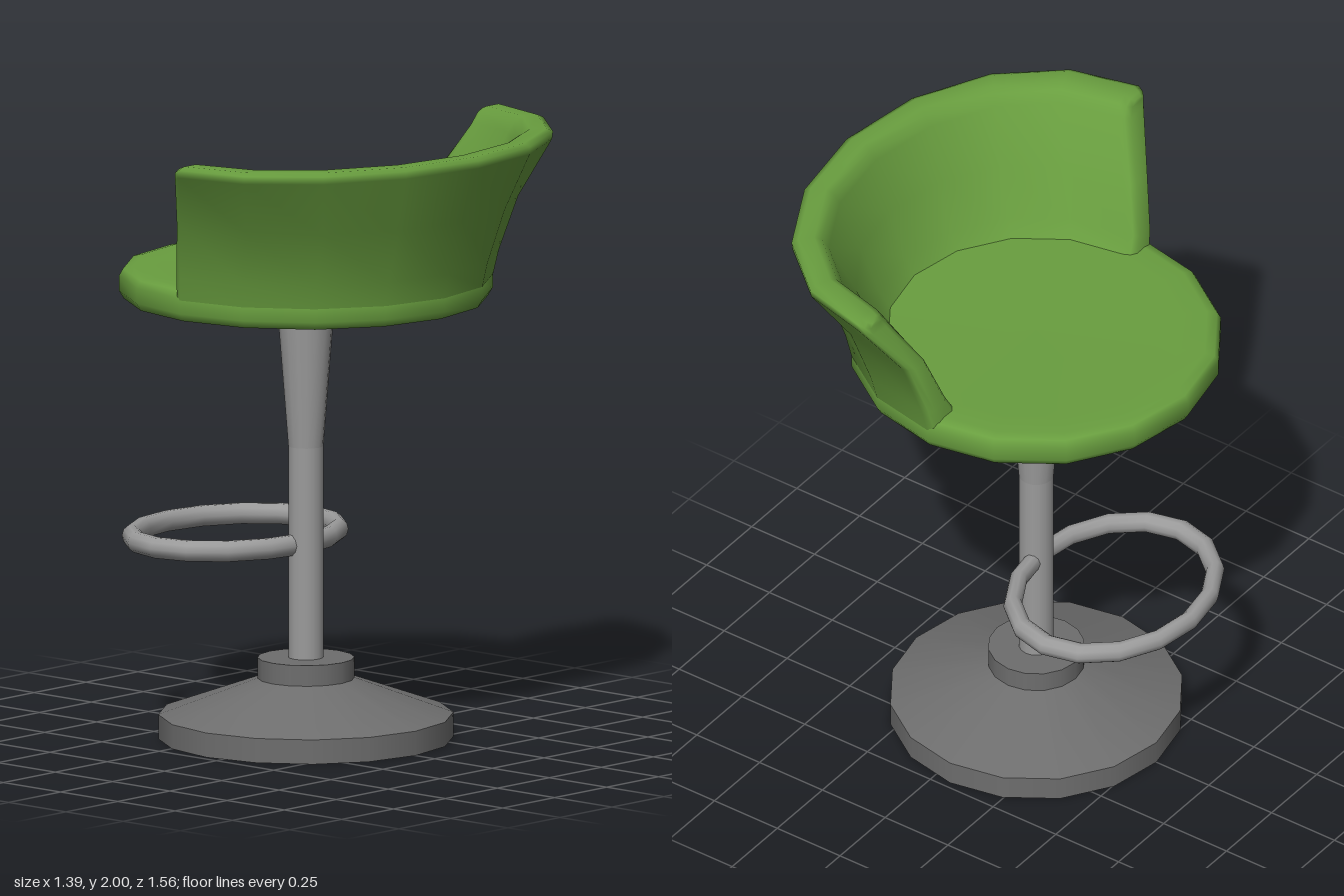
import * as THREE from 'three';

const CX = -0.063; // column axis
const SIDES = 16;

const green = new THREE.MeshStandardMaterial({ color: 0x699e3f });
green.name = 'green upholstery';
const steel = new THREE.MeshStandardMaterial({ color: 0x9b9b9b });
steel.name = 'light grey metal';
const iron = new THREE.MeshStandardMaterial({ color: 0x6e6e6e });
iron.name = 'dark grey metal';

function add(group, name, geometry, material, x = CX, y = 0) {
  const mesh = new THREE.Mesh(geometry, material);
  mesh.name = name;
  mesh.position.set(x, y, 0);
  group.add(mesh);
  return mesh;
}

const lathe = (points) =>
  new THREE.LatheGeometry(points.map(([r, y]) => new THREE.Vector2(r, y)), SIDES);

// Wrap-around backrest: half-ellipse rings, up the outside, over the rim, down the inside
function backrestGeometry() {
  // [y, forward shift, x radius, z radius]
  const rings = [
    [1.52, 0.0, 0.606, 0.606],
    [1.6, 0.012, 0.612, 0.62],
    [1.78, 0.055, 0.63, 0.665],
    [1.965, 0.148, 0.605, 0.778],
    [1.99, 0.152, 0.603, 0.78],
    [2.0, 0.154, 0.58, 0.757],
    [2.0, 0.154, 0.53, 0.70],
    [1.985, 0.152, 0.51, 0.672],
    [1.95, 0.145, 0.497, 0.65],
    [1.77, 0.06, 0.525, 0.565],
    [1.61, 0.012, 0.51, 0.515],
    [1.54, 0.0, 0.475, 0.475],
  ];
  const n = rings.length;
  const stations = [];
  for (let i = 0; i <= 8; i++) {
    const a = -Math.PI / 2 + (i * Math.PI) / 8;
    stations.push(rings.map(([y, dx, rx, rz]) =>
      new THREE.Vector3(dx + rx * Math.cos(a), y, rz * Math.sin(a))));
  }
  // Rounded ends: push the end section forward and pinch its thickness
  const roundEnd = (section, pinch, push) => section.map((p, j) => {
    const mid = p.clone().add(section[n - 1 - j]).multiplyScalar(0.5);
    const q = p.clone().lerp(mid, pinch);
    q.x -= push;
    if (p.y > 1.9) q.y -= push * 0.4;
    return q;
  });
  const first = stations[0], last = stations[8];
  stations.unshift(roundEnd(first, 0.15, 0.022));
  stations.unshift(roundEnd(first, 0.45, 0.036));
  stations.push(roundEnd(last, 0.15, 0.022));
  stations.push(roundEnd(last, 0.45, 0.036));

  const positions = stations.flat().flatMap((p) => [p.x, p.y, p.z]);
  const index = [];
  const quad = (a, b, c, d) => index.push(a, b, c, a, c, d);
  for (let i = 0; i < stations.length - 1; i++) {
    for (let j = 0; j < n - 1; j++) {
      const a = i * n + j;
      quad(a, a + 1, a + n + 1, a + n);
    }
  }
  // End caps, as strips across the thickness
  const end = (stations.length - 1) * n;
  for (let j = 0; j < n / 2 - 1; j++) {
    const k = n - 1 - j;
    quad(j, k, k - 1, j + 1);
    quad(end + j, end + j + 1, end + k - 1, end + k);
  }
  const geometry = new THREE.BufferGeometry();
  geometry.setAttribute('position', new THREE.Float32BufferAttribute(positions, 3));
  geometry.setIndex(index);
  geometry.computeVertexNormals();
  return geometry;
}

export function createModel() {
  const model = new THREE.Group();
  model.name = 'barStool';

  // Weighted foot: disc, sloping cover and collar
  add(model, 'baseDisc', new THREE.CylinderGeometry(0.478, 0.478, 0.08, SIDES), iron, CX, 0.04);
  add(model, 'baseCover', new THREE.CylinderGeometry(0.157, 0.478, 0.117, SIDES, 1, true), iron, CX, 0.1385);
  add(model, 'baseCollar', new THREE.CylinderGeometry(0.157, 0.157, 0.07, SIDES), iron, CX, 0.23);

  // Column, flaring under the seat
  add(model, 'column', new THREE.CylinderGeometry(0.057, 0.057, 0.72, SIDES), steel, CX, 0.6);
  add(model, 'columnFlare', new THREE.CylinderGeometry(0.093, 0.057, 0.46, SIDES), steel, CX, 1.19);

  // Oval footrest
  const ring = new THREE.TorusGeometry(0.375, 0.035, 10, SIDES);
  ring.rotateX(Math.PI / 2);
  ring.scale(0.8, 1, 1);
  add(model, 'footrest', ring, steel, -0.372, 0.637);

  // Seat cushion with a shallow cone underneath
  add(model, 'seatUnderside', lathe([[0, 1.405], [0.575, 1.446]]), green);
  add(model, 'seatCushion', lathe([
    [0.56, 1.445], [0.59, 1.45], [0.605, 1.475], [0.605, 1.525],
    [0.592, 1.548], [0.56, 1.555], [0.48, 1.555], [0, 1.55],
  ]), green);

  add(model, 'backrest', backrestGeometry(), green);
  return model;
}
